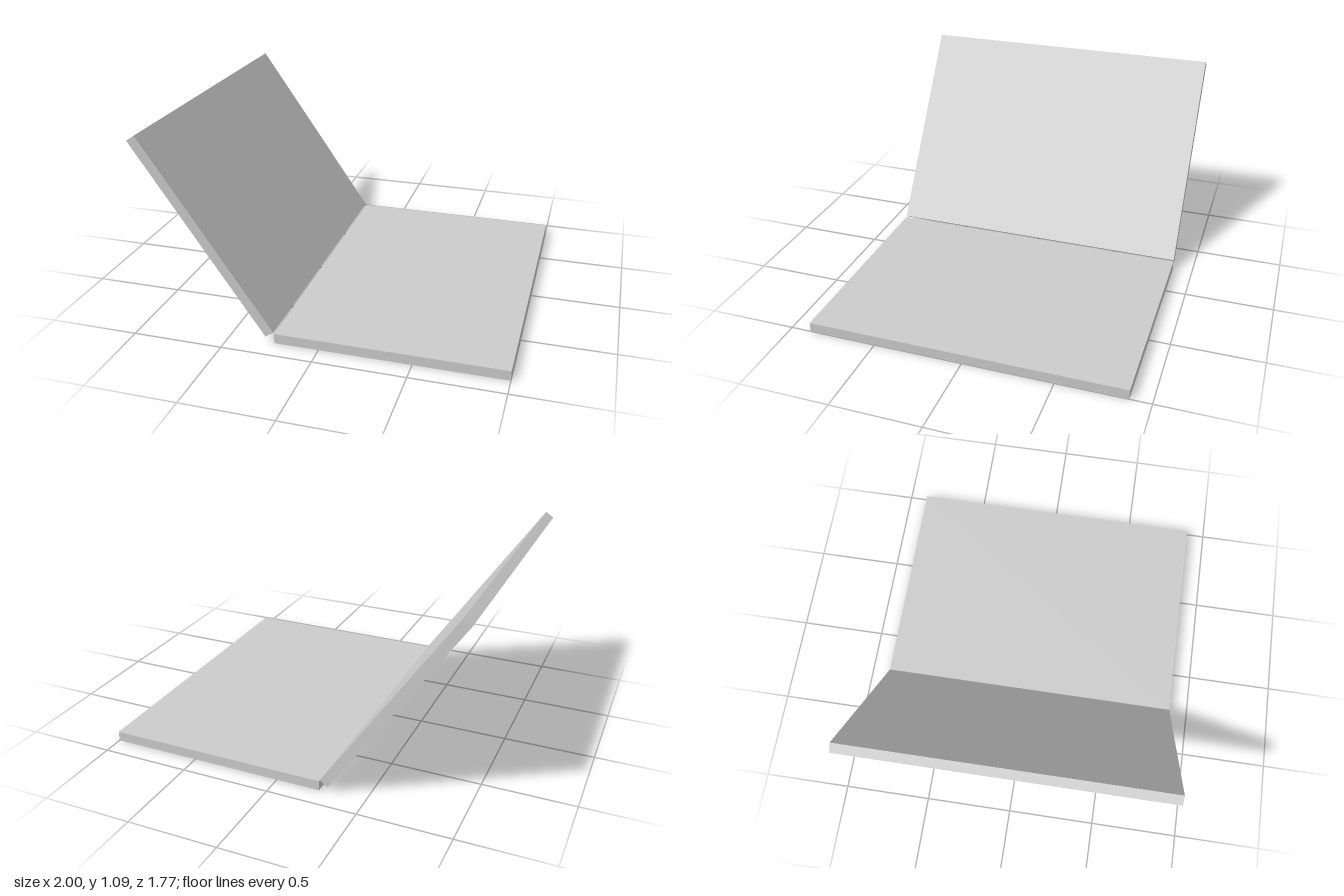
import * as THREE from 'three';

const LENGTH = 1.245, THICKNESS = 0.055, DEPTH = 1.77;

export function createModel() {
  const group = new THREE.Group();
  const material = new THREE.MeshStandardMaterial({ color: 0xcccccc, flatShading: true });
  const slab = new THREE.BoxGeometry(LENGTH, THICKNESS, DEPTH);

  function addPanel(name, x, y, angle) {
    const panel = new THREE.Mesh(slab, material);
    panel.name = name;
    panel.position.set(x, y, 0);
    panel.rotation.z = THREE.MathUtils.degToRad(angle);
    group.add(panel);
  }

  // Flat base, its hinge edge toward -x
  addPanel('base', 1 - LENGTH / 2, THICKNESS / 2, 0);

  // Open lid, leaning back from the hinge edge
  addPanel('lid', -0.624, 0.56, 124.5);

  return group;
}
